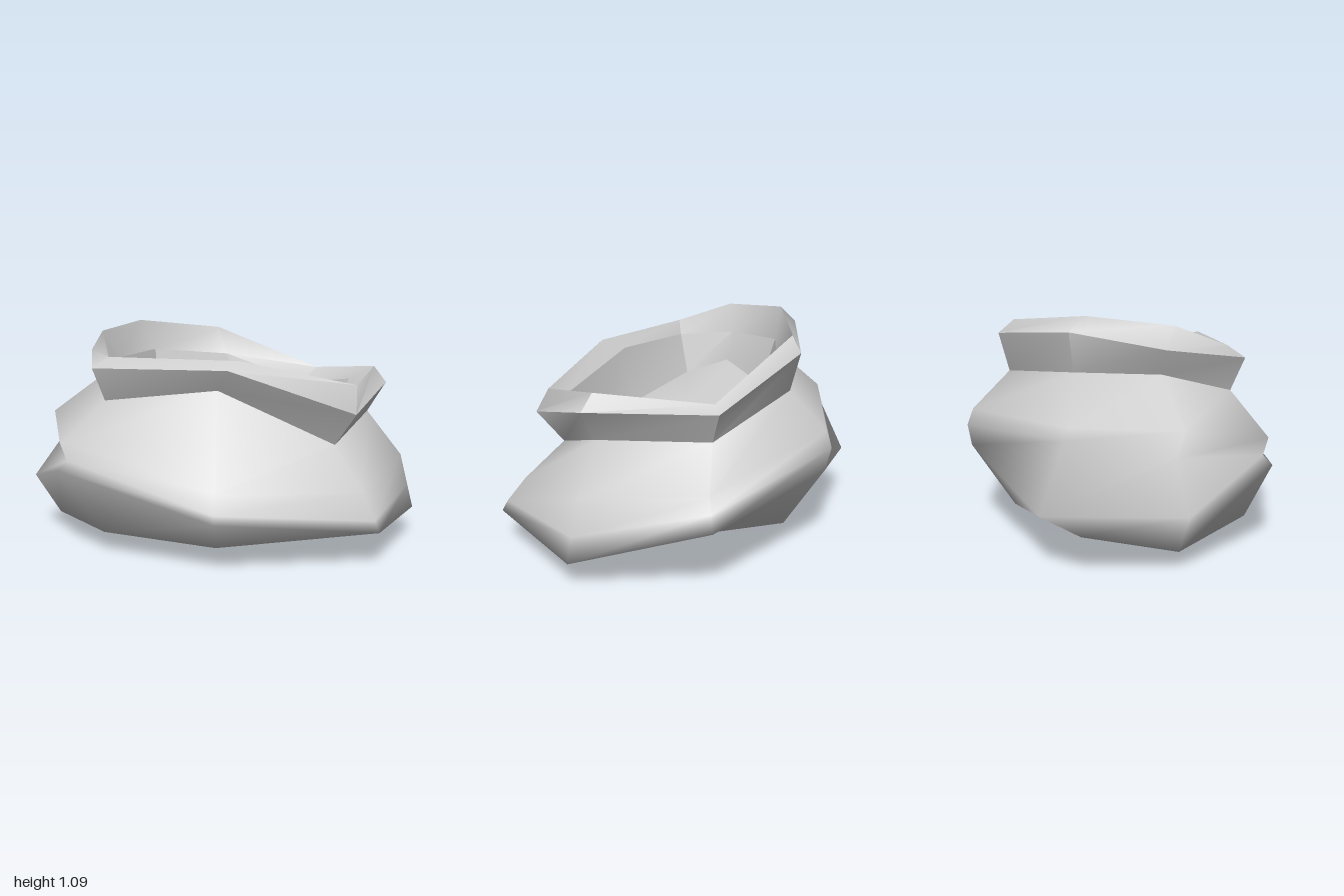
import * as THREE from 'three';
import { mergeVertices, toCreasedNormals } from 'three/addons/utils/BufferGeometryUtils.js';

// Skin a stack of closed rings; a ring holding a single point closes the end
function loft(rings) {
  const pos = [];
  const at = (i, k) => rings[i][k % rings[i].length];
  for (let i = 0; i < rings.length - 1; i++) {
    for (let k = 0; k < 8; k++) {
      const a = at(i, k), b = at(i, k + 1), c = at(i + 1, k), d = at(i + 1, k + 1);
      if (a !== b) pos.push(...a, ...c, ...b);
      if (c !== d) pos.push(...b, ...c, ...d);
    }
  }
  const g = new THREE.BufferGeometry();
  g.setAttribute('position', new THREE.Float32BufferAttribute(pos, 3));
  const merged = mergeVertices(g);
  merged.computeVertexNormals();
  return merged;
}

// Rings run left (+x), front-left, front, front-right, right, back-right, back, back-left
const base = [[0.9, 0.11, 0], [0.56, 0.1, 0.45], [0, 0.08, 0.62], [-0.55, 0.1, 0.45],
  [-0.87, 0.08, 0], [-0.86, 0.19, -0.44], [0, 0.08, -0.59], [0.6, 0.23, -0.46]];
const belly = [[1, 0.13, 0], [0.75, 0.16, 0.61], [0, 0.24, 0.81], [-0.76, 0.41, 0.49],
  [-1, 0.28, 0], [-0.75, 0.26, -0.6], [0, 0.41, -0.8], [0.75, 0.32, -0.6]];
// Soft fold tucked under the shoulder
const fold = [[0.97, 0.25, 0], [0.73, 0.21, 0.59], [0, 0.27, 0.76], [-0.72, 0.45, 0.46],
  [-0.84, 0.5, 0], [-0.68, 0.57, -0.47], [-0.02, 0.52, -0.82], [0.69, 0.38, -0.56]];
const shoulder = [[0.93, 0.41, 0], [0.68, 0.33, 0.51], [0, 0.34, 0.64], [-0.75, 0.54, 0.47],
  [-0.88, 0.63, 0.02], [-0.69, 0.63, -0.46], [-0.02, 0.6, -0.79], [0.64, 0.44, -0.52]];
const neck = [[0.75, 0.64, 0.01], [0.56, 0.52, 0.35], [0, 0.79, 0.44], [-0.55, 0.73, 0.36],
  [-0.61, 0.83, 0], [-0.44, 0.83, -0.37], [0, 0.78, -0.6], [0.51, 0.64, -0.46]];
const flare = [[0.84, 0.79, 0.02], [0.65, 0.68, 0.44], [0.05, 0.89, 0.51], [-0.6, 0.89, 0.41],
  [-0.68, 0.95, 0], [-0.48, 1.02, -0.4], [0, 0.97, -0.65], [0.56, 0.79, -0.52]];
const rim = [[0.78, 0.87, 0], [0.66, 0.81, 0.35], [0.1, 0.93, 0.44], [-0.53, 0.94, 0.35],
  [-0.61, 1.05, 0.06], [-0.47, 1.09, -0.32], [-0.05, 1.04, -0.58], [0.51, 0.82, -0.47]];
const lip = [[0.65, 0.81, 0.05], [0.58, 0.76, 0.32], [0.01, 0.88, 0.36], [-0.48, 0.87, 0.31],
  [-0.53, 0.91, 0], [-0.39, 0.93, -0.33], [0, 0.89, -0.53], [0.43, 0.74, -0.4]];
// Crumpled foot of the lining, sinking towards the low side of the rim
const foot = [[0.57, 0.53, 0.08], [0.46, 0.5, 0.28], [0.06, 0.6, 0.28], [-0.42, 0.67, 0.23],
  [-0.47, 0.76, 0], [-0.37, 0.68, -0.26], [0.09, 0.58, -0.44], [0.35, 0.52, -0.28]];

export function createModel() {
  const group = new THREE.Group();
  const material = new THREE.MeshStandardMaterial({ color: 0xcccccc });
  const add = (name, geometry) => {
    const mesh = new THREE.Mesh(geometry, material);
    mesh.name = name;
    group.add(mesh);
  };

  // Sagging soft sack
  add('sackBody', loft([[[0, 0, 0]], base, belly, fold, shoulder, neck]));
  // Flared collar, rolling over into the opening
  add('collar', toCreasedNormals(loft([neck, flare, rim, lip]), 0.9));
  // Lining and softly mounded floor of the opening
  add('innerWall', toCreasedNormals(loft([lip, foot]), 0.5));
  add('innerFloor', loft([foot, [[-0.03, 0.66, -0.03]]]));
  return group;
}
